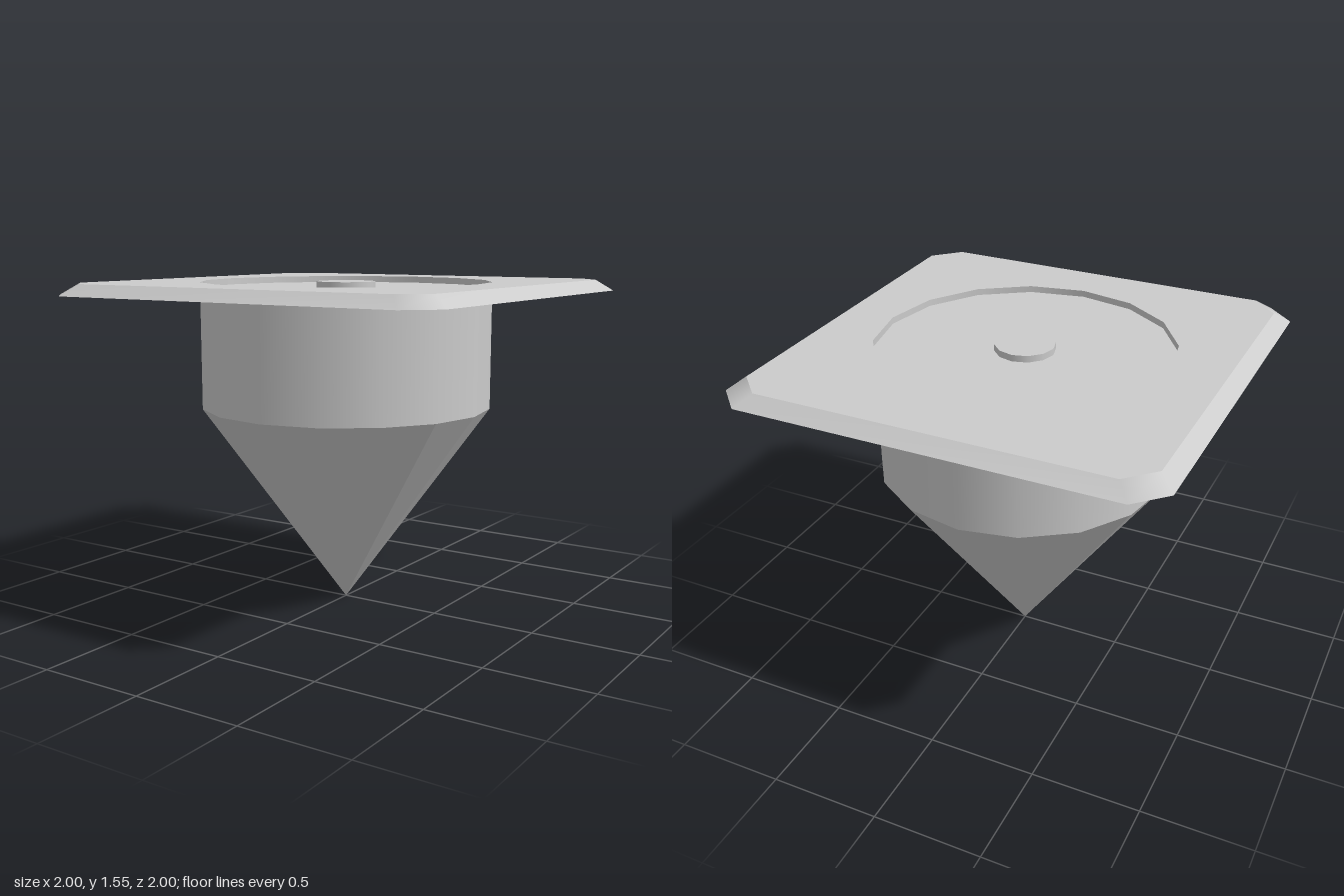
import * as THREE from 'three';

const grey = (extra = {}) => new THREE.MeshStandardMaterial({ color: 0xcccccc, side: THREE.DoubleSide, ...extra });

function add(group, name, geometry, material, y = 0) {
  const mesh = new THREE.Mesh(geometry, material);
  mesh.name = name;
  mesh.position.y = y;
  group.add(mesh);
  return mesh;
}

// Square with cut corners; half is the half width, cut is where the corner cut starts
function cutSquare(half, cut) {
  return [[cut, half], [half, cut], [half, -cut], [cut, -half],
    [-cut, -half], [-half, -cut], [-half, cut], [-cut, half]];
}

const toShape = (points) => new THREE.Shape(points.map(([x, z]) => new THREE.Vector2(x, z)));

// Flat sheet lying in the xz plane, facing up
const sheet = (shape) => new THREE.ShapeGeometry(shape).rotateX(-Math.PI / 2);

// Sloping rim between a lower and an upper outline
function rimGeometry(lower, upper, y0, y1) {
  const n = lower.length, pos = [], index = [];
  for (let i = 0; i < n; i++) {
    pos.push(lower[i][0], y0, lower[i][1], upper[i][0], y1, upper[i][1]);
    const a = 2 * i, b = 2 * ((i + 1) % n);
    index.push(a, b, b + 1, a, b + 1, a + 1);
  }
  const g = new THREE.BufferGeometry();
  g.setAttribute('position', new THREE.Float32BufferAttribute(pos, 3));
  g.setIndex(index);
  g.computeVertexNormals();
  return g;
}

export function createModel() {
  const model = new THREE.Group();
  model.name = 'funnelWithSquarePlate';
  const radius = 0.69, sides = 16;
  const shoulderY = 0.96, rimY = 1.5, floorY = 1.522, topY = 1.553;

  // Pointed cone and round drum
  add(model, 'cone', new THREE.CylinderGeometry(radius, 0, shoulderY, sides, 1, true),
    grey({ flatShading: true }), shoulderY / 2);
  add(model, 'drum', new THREE.CylinderGeometry(radius, radius, topY - shoulderY, sides, 1, true),
    grey(), (topY + shoulderY) / 2);

  // Square plate with a round opening, and its sloping rim, open underneath
  const upper = cutSquare(0.93, 0.81);
  const plate = toShape(upper);
  const hole = [];
  for (let i = 0; i < sides; i++) {
    const a = (i / sides) * Math.PI * 2;
    hole.push(new THREE.Vector2(radius * Math.cos(a), radius * Math.sin(a)));
  }
  plate.holes.push(new THREE.Path(hole));
  add(model, 'plateTop', sheet(plate), grey(), topY);
  add(model, 'plateRim', rimGeometry(cutSquare(1, 0.87), upper, rimY, topY), grey());

  // Stepped sheet under the plate, forming the floor of the recess
  const arm = 0.39, step = 0.635, end = 0.89;
  const corner = [[end, arm], [step, arm], [step, step], [arm, step], [arm, end]];
  const outline = [];
  for (let q = 0; q < 4; q++) {
    const c = [1, 0, -1, 0][q], s = [0, 1, 0, -1][q];
    corner.forEach(([x, z]) => outline.push([x * c - z * s, x * s + z * c]));
  }
  add(model, 'recessFloor', sheet(toShape(outline)), grey(), floorY);

  // Small round button in the middle of the recess
  add(model, 'centreButton', new THREE.CylinderGeometry(0.14, 0.14, topY - floorY, 12),
    grey(), (topY + floorY) / 2);

  return model;
}
